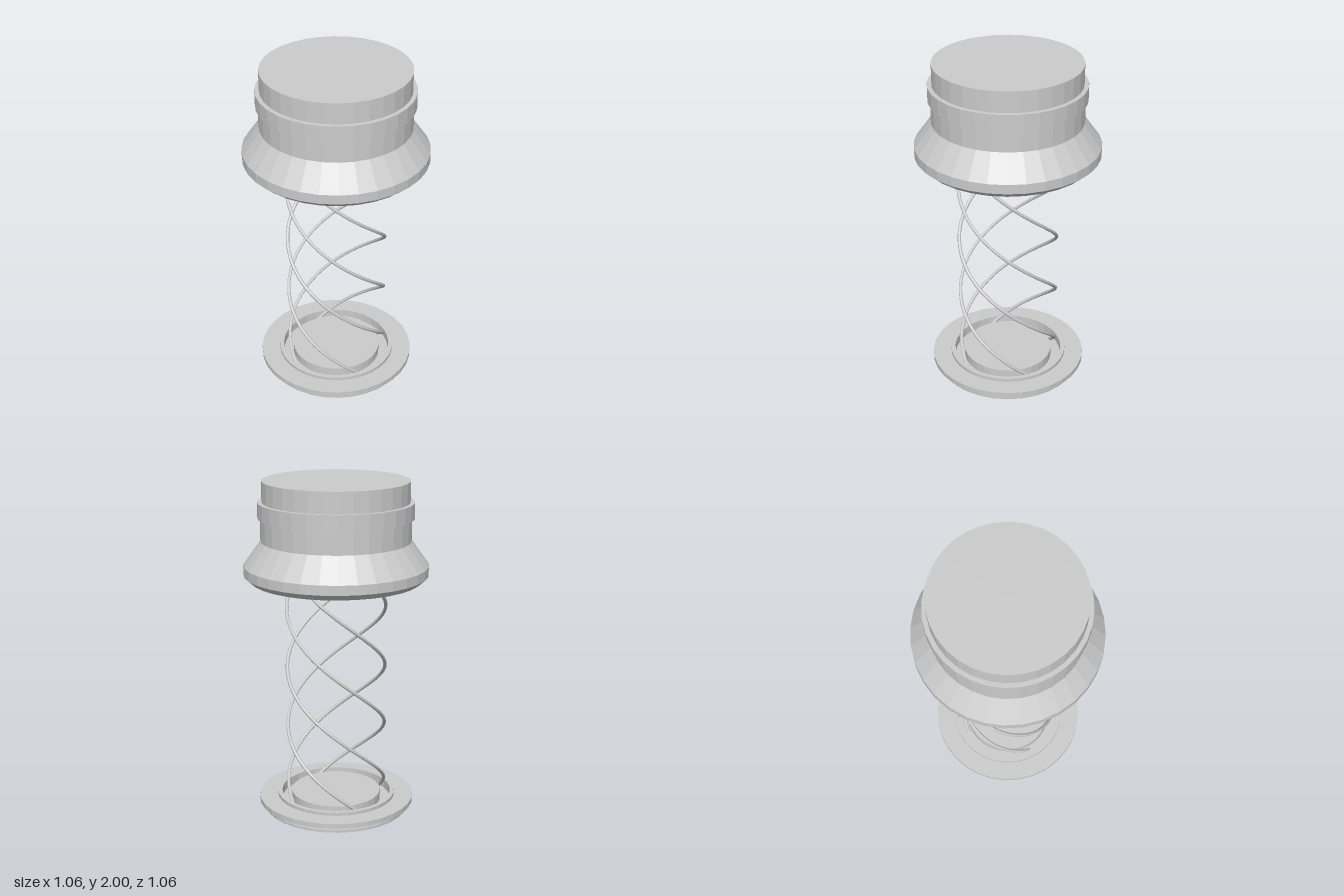
import * as THREE from 'three';

const SIDES = 32;
const flat = new THREE.MeshStandardMaterial({ color: 0xcccccc, flatShading: true });
const smooth = new THREE.MeshStandardMaterial({ color: 0xcccccc });

// Faceted turned part; profile points [radius, height] run from the bottom axis to the top axis
function turned(name, profile) {
  const points = profile.map(([r, y]) => new THREE.Vector2(r, y));
  const mesh = new THREE.Mesh(new THREE.LatheGeometry(points, SIDES), flat);
  mesh.name = name;
  return mesh;
}

// Rising helix around the y axis
class Helix extends THREE.Curve {
  constructor(radius, y0, y1, turns, phase) {
    super();
    Object.assign(this, { radius, y0, y1, turns, phase });
  }
  getPoint(t, target = new THREE.Vector3()) {
    const a = this.phase + t * this.turns * Math.PI * 2;
    return target.set(
      this.radius * Math.cos(a),
      THREE.MathUtils.lerp(this.y0, this.y1, t),
      this.radius * Math.sin(a)
    );
  }
}

export function createModel() {
  const model = new THREE.Group();
  model.name = 'springPlunger';

  // Base plate: tapered underside, stepped rims, groove that seats the wires
  model.add(turned('basePlate', [
    [0, 0], [0.22, 0.005], [0.43, 0.042], [0.43, 0.058],
    [0.41, 0.058], [0.41, 0.08], [0.46, 0.08], [0.46, 0.11],
    [0.35, 0.11], [0.35, 0.13], [0.325, 0.13], [0.325, 0.075],
    [0.265, 0.075], [0.265, 0.13], [0, 0.13],
  ]));

  // Cap: grooved underside, bevelled flare, neck, raised band, flat crown
  model.add(turned('cap', [
    [0, 1.43], [0.26, 1.43], [0.26, 1.475], [0.34, 1.475], [0.34, 1.43],
    [0.49, 1.43], [0.53, 1.465], [0.53, 1.52], [0.43, 1.66], [0.43, 1.79],
    [0.445, 1.79], [0.445, 1.88], [0.42, 1.88], [0.42, 2], [0, 2],
  ]));

  // Four interleaved spring wires, one full turn each
  const spring = new THREE.Group();
  spring.name = 'spring';
  for (let i = 0; i < 4; i++) {
    const path = new Helix(0.286, 0.06, 1.488, 1, i * Math.PI / 2);
    const wire = new THREE.Mesh(new THREE.TubeGeometry(path, 96, 0.01, 8), smooth);
    wire.name = `springWire${i + 1}`;
    spring.add(wire);
  }
  model.add(spring);

  return model;
}
